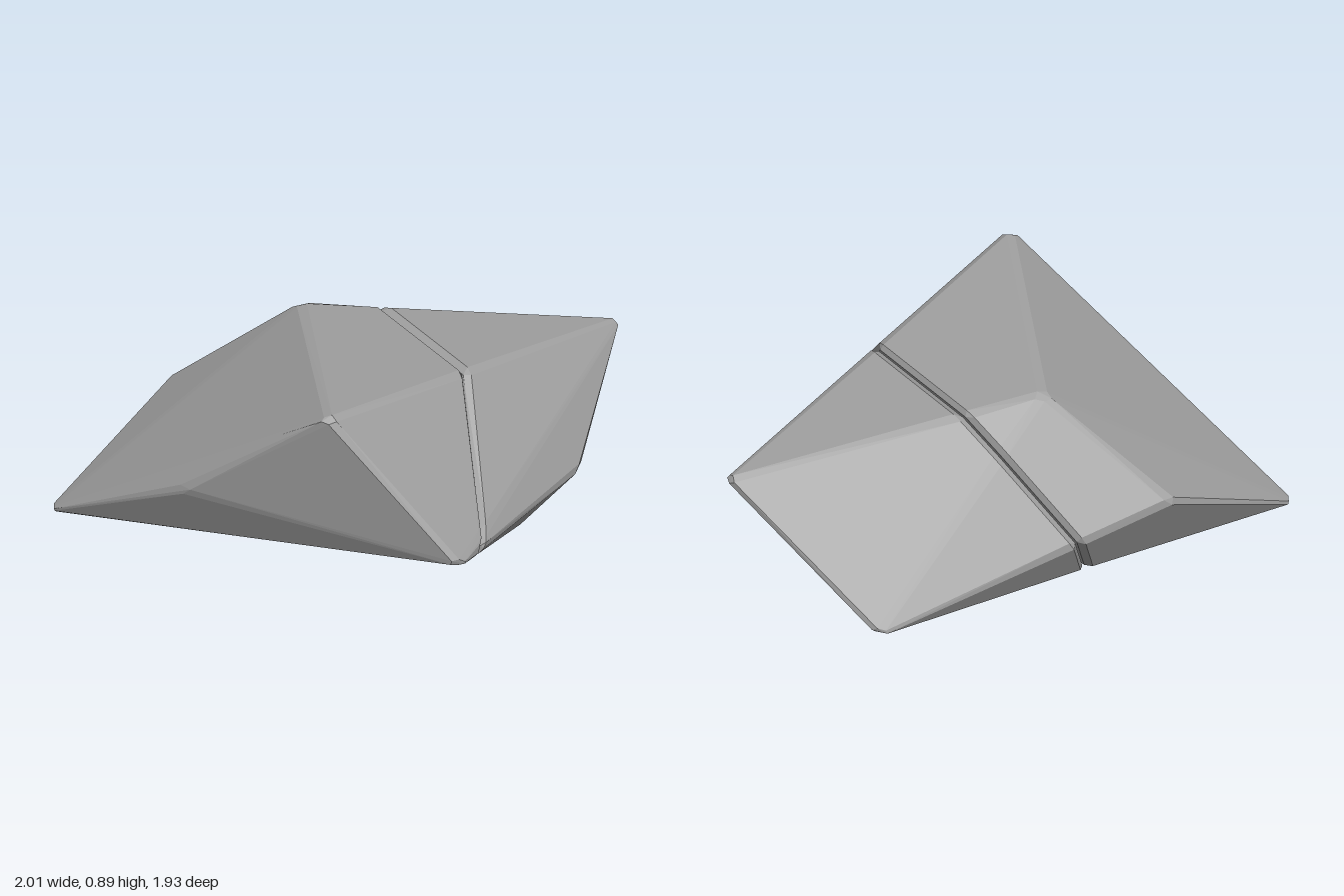
import * as THREE from 'three';
import { ConvexGeometry } from 'three/addons/geometries/ConvexGeometry.js';

const V = (x, y, z) => new THREE.Vector3(x, y, z);

// Corners of the whole boulder before it is split
const CORNERS = [
  V(-0.9, 0.9, 0.465),    // left peak
  V(-0.05, 0.815, -0.35), // top ridge
  V(-0.26, 0.365, -0.89), // back ridge
  V(-1.015, 0, -0.975),   // back left foot
  V(-1.01, 0.35, -0.25),  // left side
  V(-0.64, 0.235, 0.975), // front left
  V(0.385, 0.215, 0.835), // front right
  V(1.015, 0.575, 0.555), // right peak
  V(0.9, 0, -0.18),       // right foot
  V(0.11, 0, 0.7),        // front foot
];

// Keep the part of a polygon on the positive side of a plane, noting cut points
function clip(poly, plane, cuts) {
  const out = [];
  poly.forEach((p, i) => {
    const q = poly[(i + 1) % poly.length];
    const a = plane.distanceToPoint(p), b = plane.distanceToPoint(q);
    if (a >= 0) out.push(p);
    if ((a >= 0) !== (b >= 0)) {
      const c = p.clone().lerp(q, a / (a - b));
      out.push(c);
      if (!cuts.some((k) => k.distanceTo(c) < 1e-4)) cuts.push(c);
    }
  });
  return out;
}

// Sort the cut points around their centre to close the split face
function capPolygon(cuts, normal) {
  const centre = cuts.reduce((s, p) => s.add(p), V(0, 0, 0)).divideScalar(cuts.length);
  const u = cuts[0].clone().sub(centre).normalize();
  const w = normal.clone().cross(u);
  const angle = (p) => {
    const d = p.clone().sub(centre);
    return Math.atan2(d.dot(w), d.dot(u));
  };
  return cuts.slice().sort((p, q) => angle(p) - angle(q));
}

// Pull each polygon corner inwards so the hull leaves a chamfer on every edge
function inset(poly, width, limit) {
  return poly.map((p, i) => {
    const n = poly.length;
    const a = poly[(i + n - 1) % n].clone().sub(p), b = poly[(i + 1) % n].clone().sub(p);
    const shortest = Math.min(a.length(), b.length());
    a.normalize();
    b.normalize();
    const half = a.angleTo(b) / 2;
    const move = Math.min(width / Math.max(Math.sin(half), 0.05), limit, shortest * 0.4);
    return p.clone().addScaledVector(a.add(b).normalize(), move);
  });
}

// One chamfered half of the boulder
function rockHalf(triangles, plane) {
  const cuts = [];
  const faces = triangles.map((t) => clip(t, plane, cuts)).filter((f) => f.length > 2);
  faces.push(capPolygon(cuts, plane.normal));
  return new ConvexGeometry(faces.flatMap((f) => inset(f, 0.024, 0.045)));
}

export function createModel() {
  const group = new THREE.Group();
  group.name = 'splitBoulder';
  const stone = new THREE.MeshStandardMaterial({ color: 0xa0a0a0 });
  stone.name = 'grey stone';

  const pos = new ConvexGeometry(CORNERS).getAttribute('position');
  const triangles = [];
  for (let i = 0; i < pos.count; i += 3) {
    triangles.push([0, 1, 2].map((k) => V(0, 0, 0).fromBufferAttribute(pos, i + k)));
  }

  // Slanted split: x = -0.255 + 0.57 y - 0.34 z, with a narrow gap
  const gap = 0.004;
  [['leftStone', 1], ['rightStone', -1]].forEach(([name, side]) => {
    const plane = new THREE.Plane(V(1, -0.57, 0.34), 0.255).normalize();
    if (side < 0) plane.negate();
    plane.constant -= gap;
    const mesh = new THREE.Mesh(rockHalf(triangles, plane), stone);
    mesh.name = name;
    group.add(mesh);
  });
  return group;
}
